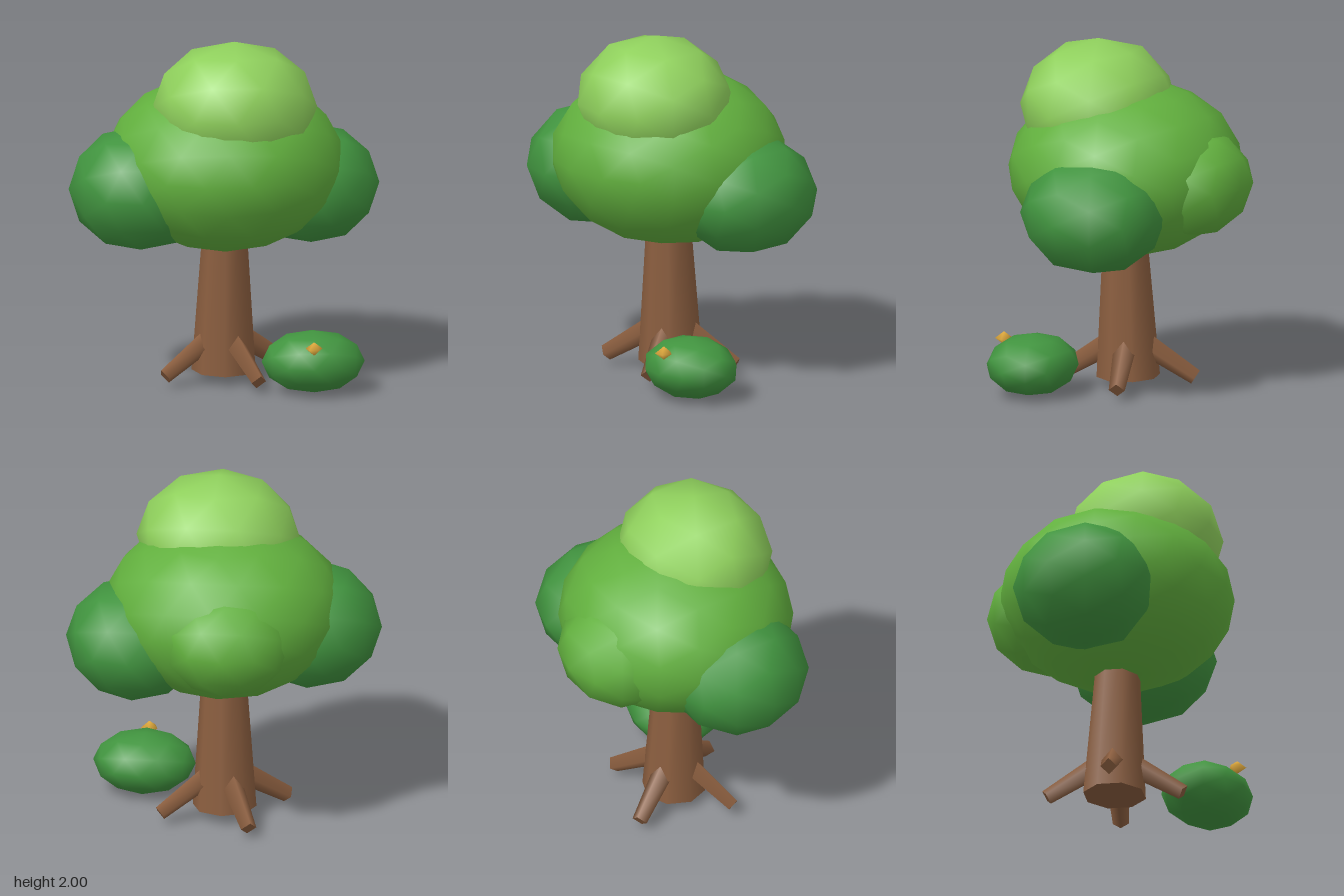
import * as THREE from 'three';

const material = (color) => new THREE.MeshStandardMaterial({ color, roughness: 0.9 });

const bark = material(0x8b5e3f);
const midGreen = material(0x62b03e);
const lightGreen = material(0x8fd05c);
const darkGreen = material(0x41943f);
const gold = material(0xe8b040);

// Low-poly, smooth-shaded leaf ball with its own radius on each axis
function leafBall(name, mat, center, radii, detail = 1) {
  const geo = new THREE.IcosahedronGeometry(1, detail);
  geo.rotateY(Math.PI / 2);
  geo.scale(...radii);
  const mesh = new THREE.Mesh(geo, mat);
  mesh.name = name;
  mesh.position.set(...center);
  return mesh;
}

// Tapered limb between two points
function limb(name, from, to, rFrom, rTo, sides) {
  const axis = to.clone().sub(from);
  const mesh = new THREE.Mesh(
    new THREE.CylinderGeometry(rTo, rFrom, axis.length(), sides), bark);
  mesh.name = name;
  mesh.position.copy(from).add(to).multiplyScalar(0.5);
  mesh.quaternion.setFromUnitVectors(new THREE.Vector3(0, 1, 0), axis.normalize());
  return mesh;
}

export function createModel() {
  const tree = new THREE.Group();
  tree.name = 'tree';
  const trunkZ = 0.04;

  // Trunk
  tree.add(limb('trunk', new THREE.Vector3(-0.003, 0.065, trunkZ),
    new THREE.Vector3(0.003, 0.95, trunkZ + 0.02), 0.18, 0.12, 8));

  // Four roots, a quarter turn apart, each with a ridge on top
  const roots = new THREE.Group();
  roots.name = 'roots';
  roots.position.z = trunkZ;
  for (let i = 0; i < 4; i++) {
    const spoke = new THREE.Group();
    spoke.name = 'rootSpoke';
    spoke.rotation.y = 0.48 + i * Math.PI / 2;
    spoke.add(limb('root', new THREE.Vector3(0, 0.25, 0.1),
      new THREE.Vector3(0, 0.07, 0.385), 0.065, 0.046, 4));
    roots.add(spoke);
  }
  tree.add(roots);

  // Foliage
  const foliage = new THREE.Group();
  foliage.name = 'foliage';
  foliage.add(
    leafBall('mainCanopy', midGreen, [0, 1.27, 0.055], [0.675, 0.5, 0.655], 2),
    leafBall('topCanopy', lightGreen, [0.05, 1.62, 0.21], [0.465, 0.38, 0.43]),
    leafBall('rightCanopy', darkGreen, [-0.48, 1.145, 0.15], [0.4, 0.355, 0.41]),
    leafBall('leftCanopy', darkGreen, [0.485, 1.108, -0.08], [0.395, 0.34, 0.42]),
    leafBall('backCanopy', midGreen, [-0.06, 1.23, -0.365], [0.37, 0.31, 0.335]),
  );
  tree.add(foliage);

  // Bush beside the trunk, with one small flower
  tree.add(leafBall('bush', darkGreen, [0.485, 0.18, 0.345], [0.29, 0.175, 0.245]));
  const flower = new THREE.Mesh(new THREE.SphereGeometry(0.05, 5, 2), gold);
  flower.name = 'flower';
  flower.position.set(0.48, 0.3, 0.55);
  flower.rotation.y = -Math.PI / 2;
  flower.scale.y = 0.78;
  tree.add(flower);

  return tree;
}
